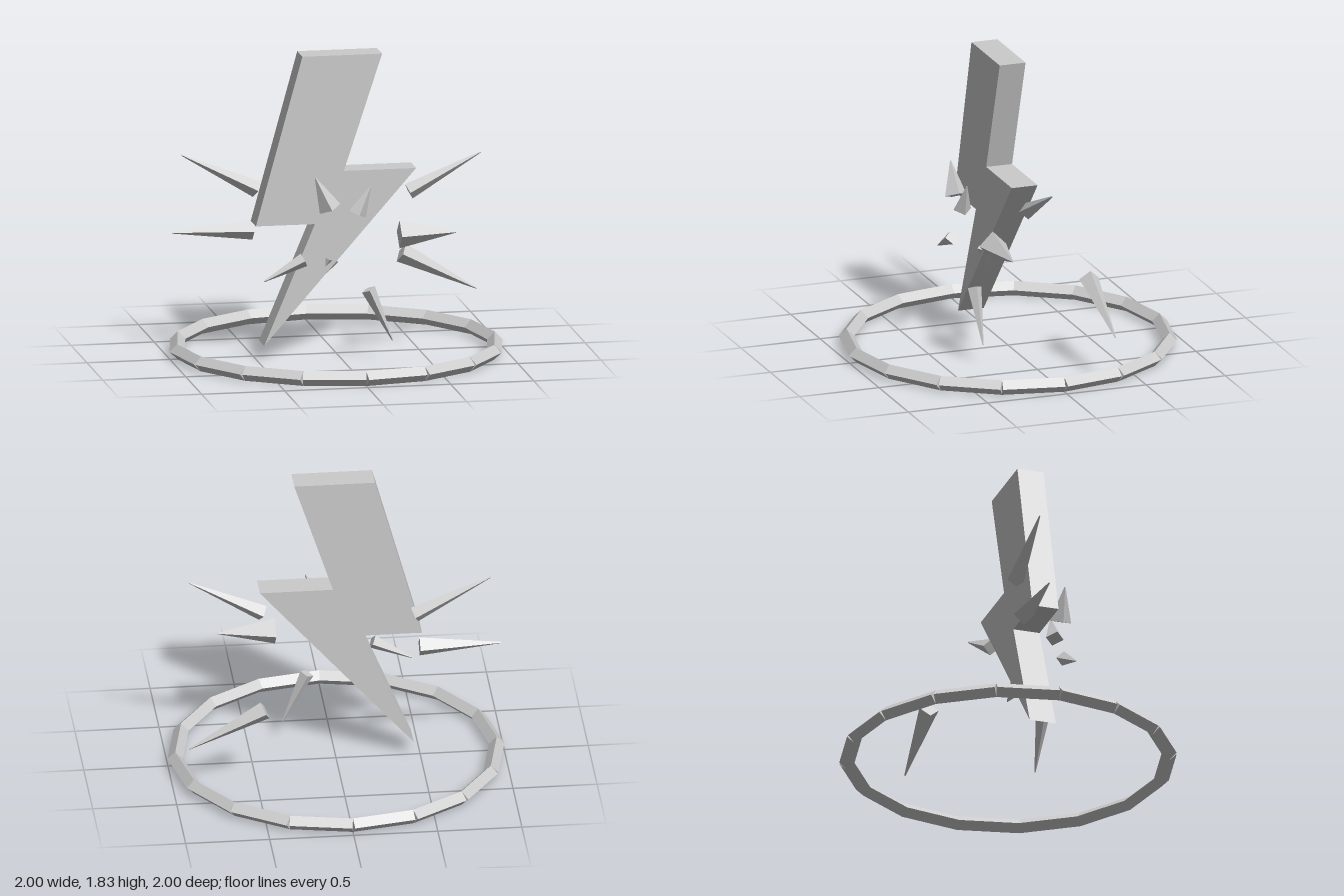
import * as THREE from 'three';

const material = new THREE.MeshStandardMaterial({ color: 0xcccccc, flatShading: true });

// Straight four-sided bar or spike, running from one point to another
function taper(name, from, to, r0, r1) {
  const dir = to.clone().sub(from);
  const mesh = new THREE.Mesh(new THREE.CylinderGeometry(r1, r0, dir.length(), 4), material);
  mesh.name = name;
  mesh.position.copy(from).add(to).multiplyScalar(0.5);
  mesh.quaternion.setFromUnitVectors(new THREE.Vector3(0, 1, 0), dir.normalize());
  return mesh;
}

// Thick zigzag bolt standing on its point
function createBolt() {
  const outline = [[-0.46, 0.09], [0.455, 1.13], [0.02, 1.13], [0.25, 1.83],
    [-0.23, 1.83], [-0.51, 0.815], [-0.155, 0.815]].map(p => new THREE.Vector2(...p));
  const geometry = new THREE.ExtrudeGeometry(new THREE.Shape(outline), { depth: 0.163, bevelEnabled: false });
  geometry.translate(0, 0, -0.018);
  const bolt = new THREE.Mesh(geometry, material);
  bolt.name = 'lightningBolt';
  return bolt;
}

// Ground ring of sixteen straight bars with diamond sections
function createRing() {
  const ring = new THREE.Group();
  ring.name = 'groundRing';
  const count = 16, radius = 0.956, thick = 0.045;
  const length = 2 * radius * Math.sin(Math.PI / count);
  for (let i = 0; i < count; i++) {
    const angle = (i + 0.5) / count * Math.PI * 2;
    const geometry = new THREE.CylinderGeometry(thick, thick, length, 4);
    geometry.rotateX(Math.PI / 2);
    geometry.translate(radius * Math.cos(Math.PI / count), thick, 0);
    const bar = new THREE.Mesh(geometry, material);
    bar.name = 'ringSegment';
    bar.rotation.y = angle;
    ring.add(bar);
  }
  return ring;
}

// Spikes bursting outwards: base x, base y, tip x, tip y, z, base radius
const SPIKES = [
  [-0.457, 0.985, -0.91, 1.21, -0.105, 0.051],
  [-0.49, 0.75, -0.975, 0.75, -0.067, 0.06],
  [-0.243, 0.627, -0.483, 0.505, 0.262, 0.043],
  [-0.092, 0.937, -0.18, 1.125, 0.295, 0.068],
  [0.07, 0.903, 0.148, 1.065, 0.315, 0.055],
  [0.431, 0.968, 0.865, 1.19, 0.04, 0.05],
  [0.34, 0.75, 0.68, 0.75, 0.223, 0.085],
  [0.458, 0.517, 0.91, 0.283, -0.34, 0.06],
  [0.145, 0.433, 0.29, 0.12, 0.265, 0.043],
  [-0.07, 0.6, -0.135, 0.455, 0.092, 0.075],
];

export function createModel() {
  const model = new THREE.Group();
  model.name = 'lightningStrike';
  model.add(createBolt(), createRing());

  const spikes = new THREE.Group();
  spikes.name = 'spikes';
  for (const [bx, by, tx, ty, z, r] of SPIKES) {
    spikes.add(taper('spike', new THREE.Vector3(bx, by, z), new THREE.Vector3(tx, ty, z), r, 0.004));
  }
  model.add(spikes);
  return model;
}
